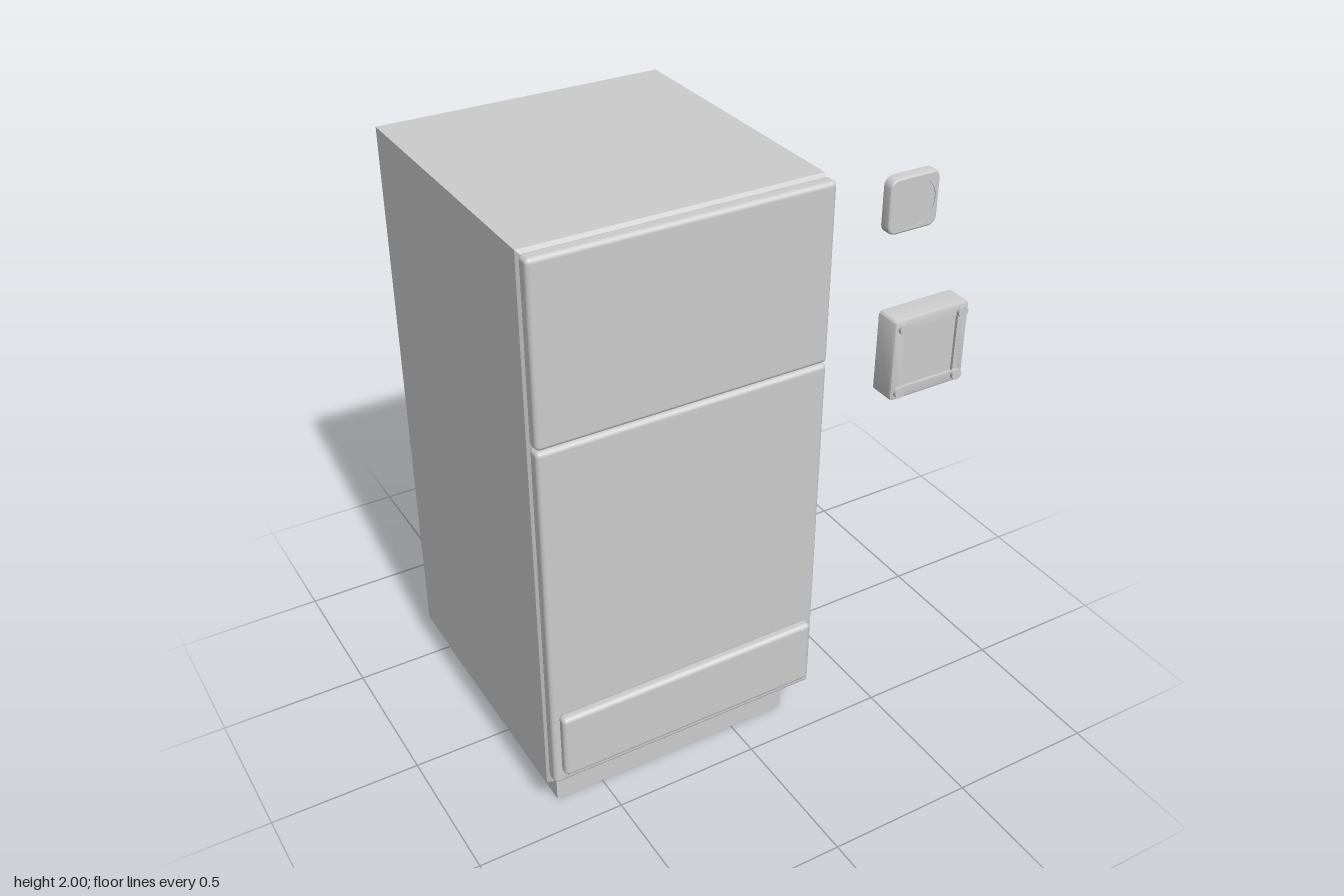
import * as THREE from 'three';
import { toCreasedNormals } from 'three/addons/utils/BufferGeometryUtils.js';
import { RoundedBoxGeometry } from 'three/addons/geometries/RoundedBoxGeometry.js';

const grey = new THREE.MeshStandardMaterial({ color: 0xcccccc });
const greyThin = new THREE.MeshStandardMaterial({ color: 0xcccccc, side: THREE.DoubleSide });

// Outline of a rounded rectangle, counter-clockwise
function outline(hw, hh, r, steps = 5) {
  const pts = [];
  [[1, 1], [-1, 1], [-1, -1], [1, -1]].forEach(([sx, sy], c) => {
    for (let i = 0; i <= steps; i++) {
      const a = (c + i / steps) * Math.PI / 2;
      pts.push([sx * (hw - r) + r * Math.cos(a), sy * (hh - r) + r * Math.sin(a)]);
    }
  });
  return pts;
}

// Skin rounded-rectangle sections [halfWidth, halfHeight, radius, z] in order
function loft(sections) {
  const rings = sections.map(([hw, hh, r, z]) => outline(hw, hh, r).map(([x, y]) => [x, y, z]));
  const pos = [];
  for (let s = 0; s < rings.length - 1; s++) {
    const a = rings[s], b = rings[s + 1], n = a.length;
    for (let i = 0; i < n; i++) {
      const j = (i + 1) % n;
      pos.push(...a[i], ...a[j], ...b[j], ...a[i], ...b[j], ...b[i]);
    }
  }
  const g = new THREE.BufferGeometry();
  g.setAttribute('position', new THREE.Float32BufferAttribute(pos, 3));
  return toCreasedNormals(g, 0.6);
}

// Box given by its minimum and maximum corners; rounded when r > 0
function block(name, [x0, y0, z0], [x1, y1, z1], r = 0) {
  const size = [x1 - x0, y1 - y0, z1 - z0];
  const g = r ? new RoundedBoxGeometry(...size, 3, r) : new THREE.BoxGeometry(...size);
  const m = new THREE.Mesh(g, grey);
  m.position.set((x0 + x1) / 2, (y0 + y1) / 2, (z0 + z1) / 2);
  m.name = name;
  return m;
}

function part(name, geometry, material, x, y, z) {
  const m = new THREE.Mesh(geometry, material);
  m.name = name;
  m.position.set(x, y, z);
  return m;
}

export function createModel() {
  const model = new THREE.Group();
  model.name = 'refrigerator';

  // Plinth and cabinet
  model.add(block('plinth', [-0.665, 0, -0.505], [0.2, 0.12, 0.37]));
  model.add(part('cabinet', loft([
    [0, 0, 0, -0.555], [0.48, 0.94, 0, -0.555], [0.48, 0.94, 0, 0.396],
    [0.468, 0.928, 0, 0.412], [0, 0, 0, 0.412],
  ]), grey, -0.23, 1.06, 0));

  // Doors and lower front panel
  model.add(block('freezerDoor', [-0.71, 1.416, 0.41], [0.25, 1.998, 0.461], 0.015));
  model.add(block('mainDoor', [-0.71, 0.165, 0.41], [0.25, 1.411, 0.461], 0.015));
  model.add(block('lowerPanel', [-0.687, 0.215, 0.455], [0.222, 0.45, 0.496], 0.016));

  // Small cover: open-backed shell with a round inset disc
  const cover = new THREE.Group();
  cover.name = 'roundCover';
  cover.position.set(0.5, 1.887, 0.46);
  cover.add(part('coverRim', loft([
    [0.088, 0.088, 0.028, 0], [0.088, 0.088, 0.028, 0.025],
    [0.086, 0.086, 0.026, 0.031], [0.081, 0.081, 0.021, 0.034],
  ]), greyThin, 0, 0, 0));
  const face = new THREE.Shape(outline(0.081, 0.081, 0.021).map(p => new THREE.Vector2(...p)));
  face.holes.push(new THREE.Path().absarc(0, 0, 0.075, 0, Math.PI * 2, true));
  cover.add(part('coverFace', new THREE.ShapeGeometry(face, 20), greyThin, 0, 0, 0.034));
  const ring = new THREE.CylinderGeometry(0.075, 0.075, 0.003, 40, 1, true).rotateX(Math.PI / 2);
  cover.add(part('discEdge', ring, greyThin, 0, 0, 0.0325));
  cover.add(part('disc', new THREE.CircleGeometry(0.075, 40), greyThin, 0, 0, 0.031));
  model.add(cover);

  // Square box with a recessed front and four corner pegs
  const box = new THREE.Group();
  box.name = 'squareBox';
  box.position.set(0.568, 1.403, 0.46);
  box.add(part('boxCase', loft([
    [0, 0, 0, 0], [0.138, 0.138, 0.015, 0], [0.138, 0.138, 0.015, 0.073],
    [0.135, 0.135, 0.012, 0.081], [0.128, 0.128, 0.005, 0.084],
    [0.098, 0.098, 0, 0.084], [0.098, 0.098, 0, 0.074], [0, 0, 0, 0.074],
  ]), grey, 0, 0, 0));
  const peg = new THREE.CylinderGeometry(0.018, 0.018, 0.014, 24).rotateX(Math.PI / 2);
  for (const sx of [-1, 1]) for (const sy of [-1, 1]) {
    box.add(part('cornerPeg', peg, grey, sx * 0.109, sy * 0.109, 0.088));
  }
  model.add(box);

  return model;
}
